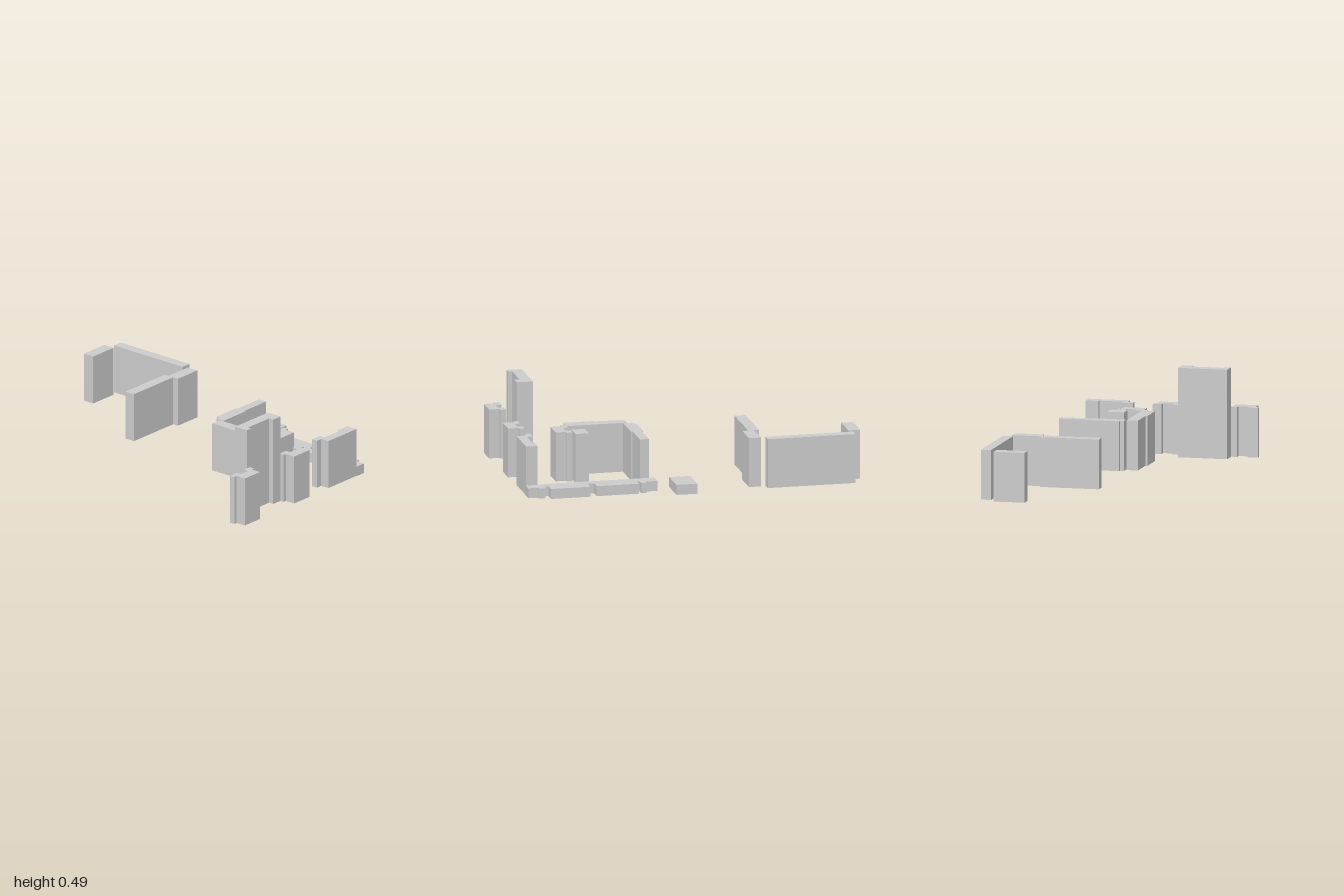
import * as THREE from 'three';

// Wall heights
const WALL = 0.27, TOWER = 0.485, KERB = 0.055;

export function createModel() {
  const model = new THREE.Group();
  const stone = new THREE.MeshStandardMaterial({ color: 0xcccccc });
  stone.name = 'stoneGrey';

  // The whole plan is square to one turned grid: u runs along it, v across it
  const plan = new THREE.Group();
  plan.name = 'wallPlan';
  plan.rotation.y = -0.729;
  model.add(plan);

  // One upright block between two grid corners
  function block(name, height, u0, u1, v0, v1) {
    const mesh = new THREE.Mesh(new THREE.BoxGeometry(u1 - u0, height, v1 - v0), stone);
    mesh.position.set((u0 + u1) / 2, height / 2, (v0 + v1) / 2);
    mesh.name = name;
    plan.add(mesh);
  }

  // Pier with two tabs on its inner side
  function pier(name, u, v) {
    block(name + 'Body', WALL, u + 0.03, u + 0.088, v + 0.02, v + 0.145);
    block(name + 'BackTab', WALL, u, u + 0.03, v, v + 0.05);
    block(name + 'FrontTab', WALL, u, u + 0.03, v + 0.108, v + 0.164);
  }

  // Detached walls at the back
  block('farShortWall', WALL, -1.115, -1.05, -0.304, -0.134);
  block('farLongWall', WALL, -1.07, -0.588, -0.387, -0.331);
  block('farSteppedWallThick', WALL, -0.561, -0.495, -0.343, -0.183);
  block('farSteppedWallLong', WALL, -0.588, -0.528, -0.183, 0.142);
  block('lowBlock', KERB, -0.194, -0.079, -0.417, -0.245);

  // Low kerb with notches along its outer edge
  block('kerbStrip', KERB, 0, 0.615, -0.285, -0.236);
  block('kerbStart', KERB, 0, 0.065, -0.31, -0.285);
  block('kerbStartTab', KERB, 0.065, 0.095, -0.334, -0.285);
  block('kerbFirstLedge', KERB, 0.11, 0.343, -0.345, -0.285);
  block('kerbSecondLedge', KERB, 0.378, 0.595, -0.348, -0.285);
  block('kerbEnd', KERB, 0.615, 0.71, -0.306, -0.245);
  block('kerbEndTab', KERB, 0.622, 0.657, -0.325, -0.306);

  // Walls round the court
  block('courtRightWallBack', WALL, 0.644, 0.707, -0.245, -0.172);
  block('courtRightWall', WALL, 0.657, 0.707, -0.172, -0.014);
  block('courtRightWallTab', WALL, 0.624, 0.657, -0.043, 0.022);
  block('courtBackWallThin', WALL, 0.03, 0.079, -0.236, -0.06);
  block('courtBackWallThick', WALL, 0.021, 0.088, -0.06, 0.1);
  block('courtBackWallEnd', WALL, 0.036, 0.088, 0.1, 0.122);
  block('courtFrontWall', WALL, 0.066, 0.398, 0.13, 0.192);
  block('courtFrontWallLedge', WALL, 0.229, 0.398, 0.192, 0.203);

  // Piers and the tall wall at the front
  block('courtBlock', WALL, 0.316, 0.389, -0.044, 0.052);
  pier('courtPier', 0.397, -0.01);
  pier('gatePier', 0.626, 0.131);
  pier('endPier', 0.633, 0.546);
  block('tallWall', TOWER, 0.544, 0.604, 0.292, 0.563);
  block('tallWallBackTab', TOWER, 0.604, 0.633, 0.292, 0.354);
  block('tallWallFrontTab', TOWER, 0.604, 0.626, 0.527, 0.563);

  return model;
}
